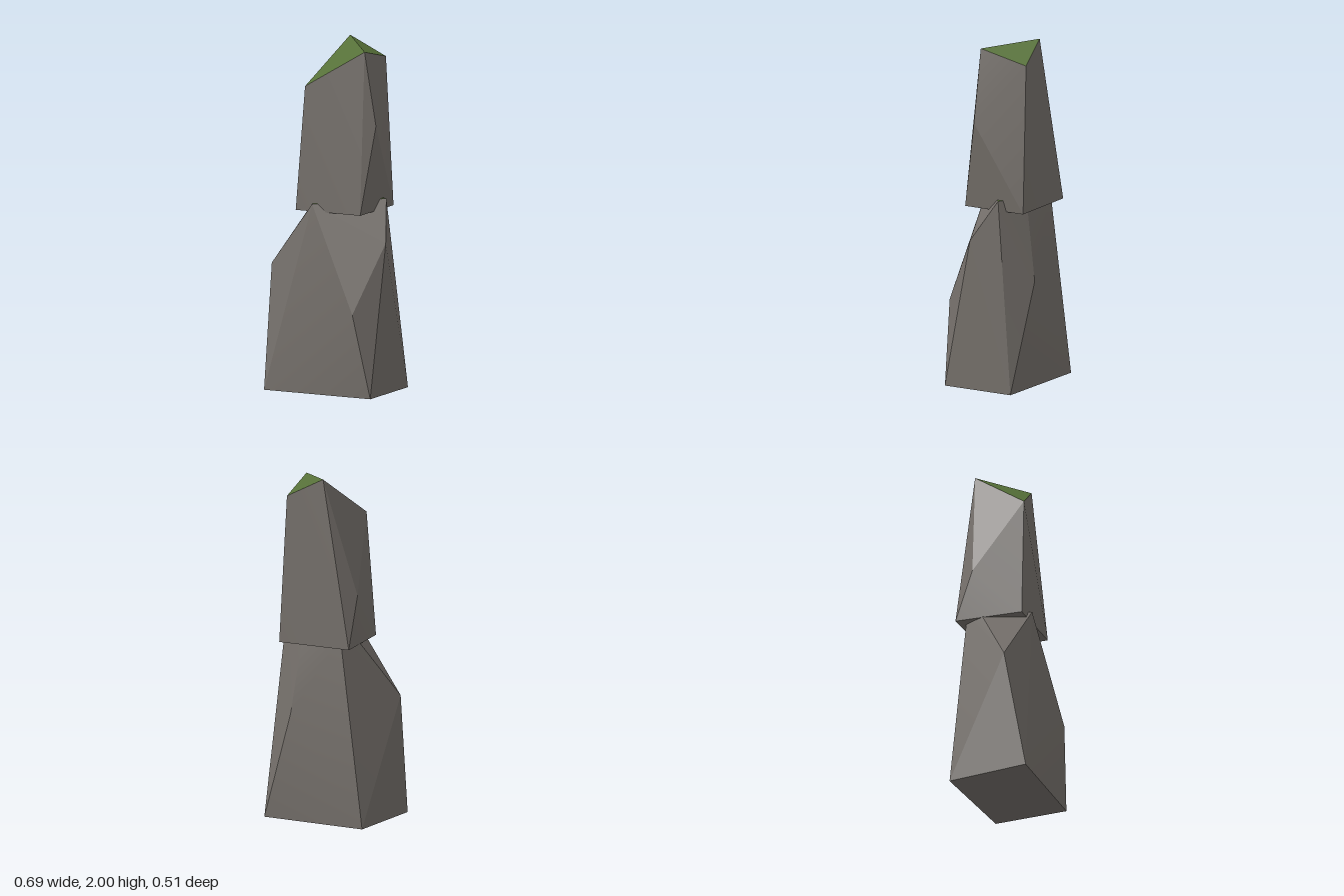
import * as THREE from 'three';
import { ConvexGeometry } from 'three/addons/geometries/ConvexGeometry.js';
import { toCreasedNormals } from 'three/addons/utils/BufferGeometryUtils.js';

const rock = new THREE.MeshStandardMaterial({ color: 0x746f6a });
rock.name = 'rock';
const moss = new THREE.MeshStandardMaterial({ color: 0x567038 });
moss.name = 'moss';

// Faceted stone from its corners; upward-facing facets near the top become moss.
function makeStone(name, corners, mossHeight) {
  const hull = new ConvexGeometry(corners.map((c) => new THREE.Vector3(...c)));
  const geometry = toCreasedNormals(hull, 0.3);
  const pos = geometry.attributes.position;
  const tri = new THREE.Triangle();
  const normal = new THREE.Vector3();
  const middle = new THREE.Vector3();
  geometry.clearGroups();
  for (let i = 0; i < pos.count; i += 3) {
    tri.setFromAttributeAndIndices(pos, i, i + 1, i + 2);
    tri.getNormal(normal);
    tri.getMidpoint(middle);
    const mossy = normal.y > 0.68 && middle.y > mossHeight;
    geometry.addGroup(i, 3, mossy ? 1 : 0);
  }
  const mesh = new THREE.Mesh(geometry, [rock, moss]);
  mesh.name = name;
  return mesh;
}

export function createModel() {
  const group = new THREE.Group();
  group.name = 'stackedStonePillar';

  group.add(makeStone('lowerStone', [
    // base
    [-0.33, 0, 0.255], [0.34, 0, 0.22], [0.34, 0, -0.215], [-0.29, 0, -0.23],
    // shoulders
    [-0.35, 0.71, 0.13], [0.24, 0.48, 0.25], [0.345, 0.87, 0.05], [0.15, 0.63, -0.26],
    // top
    [-0.06, 1.08, 0.18], [0.27, 1.1, -0.09], [0.11, 1.1, -0.18],
    [-0.13, 1.1, -0.19], [-0.17, 1.09, -0.1],
  ], 1));

  group.add(makeStone('upperStone', [
    // base
    [-0.175, 1.035, 0.165], [0.235, 1.035, 0.15], [0.235, 1.035, -0.235], [-0.205, 1.035, -0.23],
    // shoulders
    [-0.207, 1.33, -0.125], [0.287, 1.54, 0.06],
    // sloping top
    [-0.12, 1.75, 0.155], [0.165, 1.935, 0.065], [0.213, 1.96, 0.06],
    [0.19, 1.89, -0.227], [-0.02, 2, -0.188],
  ], 1.7));

  return group;
}
